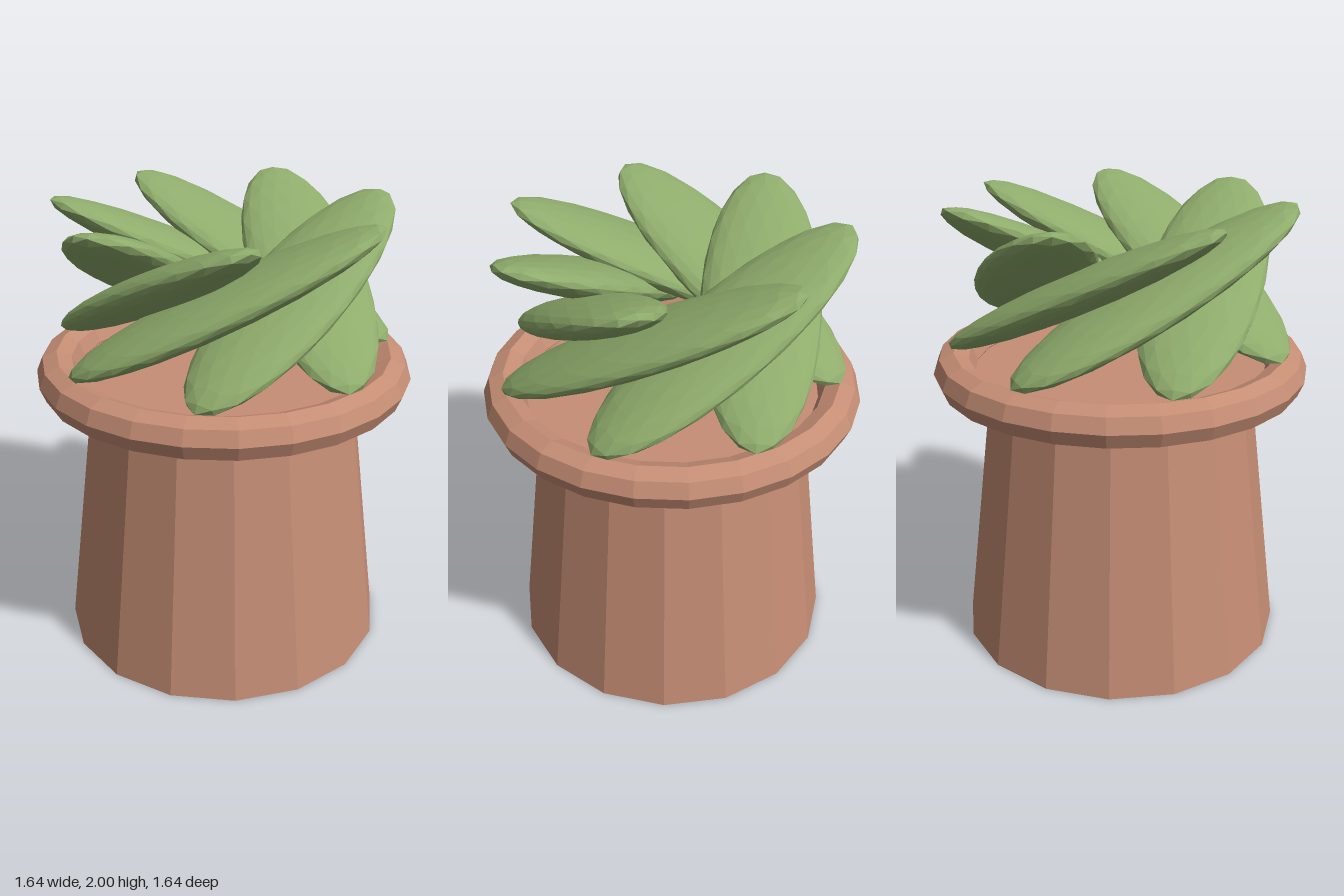
import * as THREE from 'three';

const LEAVES = 7;

export function createModel() {
  const model = new THREE.Group();
  model.name = 'pottedSucculent';

  const clay = new THREE.MeshStandardMaterial({ color: 0xc68e75, flatShading: true });
  const clayThin = clay.clone();
  clayThin.side = THREE.DoubleSide;
  const green = new THREE.MeshStandardMaterial({ color: 0x8fac6c, flatShading: true });

  const add = (name, geometry, material, parent = model) => {
    const mesh = new THREE.Mesh(geometry, material);
    mesh.name = name;
    parent.add(mesh);
    return mesh;
  };

  // Pot body, wider at the foot
  const potHeight = 1.26;
  add('potBody', new THREE.CylinderGeometry(0.575, 0.73, potHeight, 16), clay).position.y = potHeight / 2;

  // Plate that closes the top of the pot out to the rim
  const plate = new THREE.CircleGeometry(0.66, 24).rotateX(-Math.PI / 2);
  add('potTop', plate, clayThin).position.y = potHeight + 0.005;

  // Ring-shaped rim
  const rim = new THREE.TorusGeometry(0.73, 0.09, 8, 24).rotateX(Math.PI / 2);
  add('potRim', rim, clay).position.y = 1.27;

  // Flattened leaves, each set tangentially and tilted, swirling round the middle
  const leafShape = new THREE.IcosahedronGeometry(1, 3).scale(0.255, 0.085, 0.705);
  const leaves = new THREE.Group();
  leaves.name = 'leaves';
  model.add(leaves);
  for (let i = 0; i < LEAVES; i++) {
    const arm = new THREE.Group();
    arm.name = `leafArm${i + 1}`;
    arm.rotation.y = -(THREE.MathUtils.degToRad(101) + (i * 2 * Math.PI) / LEAVES);
    const leaf = add(`leaf${i + 1}`, leafShape, green, arm);
    leaf.position.set(0.37, 1.68, 0);
    leaf.rotation.x = THREE.MathUtils.degToRad(26.4);
    leaves.add(arm);
  }

  return model;
}
